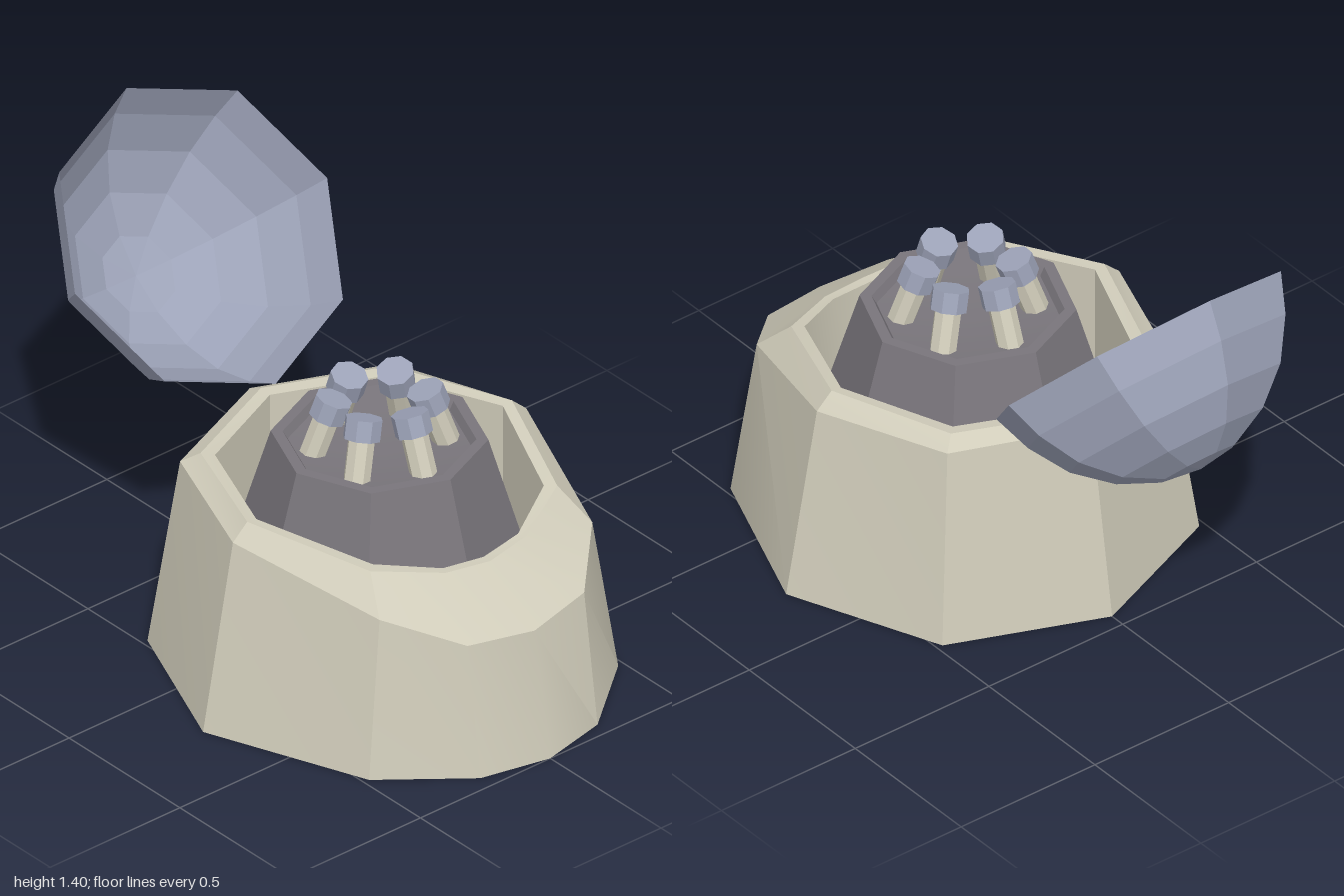
import * as THREE from 'three';
import { toCreasedNormals } from 'three/addons/utils/BufferGeometryUtils.js';

const CENTRE_Z = 0.23;

export function createModel() {
  const model = new THREE.Group();
  const stone = new THREE.MeshStandardMaterial({ color: 0xd0ccba });
  const darkGrey = new THREE.MeshStandardMaterial({ color: 0x79757b });
  const blueGrey = new THREE.MeshStandardMaterial({ color: 0x9da3b8, side: THREE.DoubleSide });

  const add = (parent, name, geometry, material, crease) => {
    const mesh = new THREE.Mesh(toCreasedNormals(geometry, crease), material);
    mesh.name = name;
    parent.add(mesh);
    return mesh;
  };

  // Half outline from back to front, mirrored into a closed loop
  const ring = (half) => [...half, ...half.slice(1, -1).reverse().map(([x, y, z]) => [-x, y, z])];

  // Skin between successive rings
  const skin = (...rings) => {
    const n = rings[0].length, pos = rings.flat(2), index = [];
    for (let r = 0; r < rings.length - 1; r++) {
      for (let i = 0; i < n; i++) {
        const a = r * n + i, b = r * n + (i + 1) % n;
        index.push(a, a + n, b + n, a, b + n, b);
      }
    }
    const g = new THREE.BufferGeometry();
    g.setAttribute('position', new THREE.Float32BufferAttribute(pos, 3));
    g.setIndex(index);
    return g;
  };

  // Housing outlines
  const foot = ring([[0, 0, -0.45], [0.48, 0, -0.255], [0.68, 0, 0.23], [0.48, 0, 0.745], [0.225, 0, 0.95], [0, 0, 1]]);
  const shoulder = ring([[0, 0.63, -0.355], [0.41, 0.625, -0.19], [0.565, 0.61, 0.23], [0.41, 0.51, 0.71], [0.225, 0.43, 0.89], [0, 0.41, 0.93]]);
  const crest = ring([[0, 0.655, -0.305], [0.365, 0.655, -0.15], [0.51, 0.66, 0.23], [0.36, 0.61, 0.61], [0.155, 0.568, 0.71], [0, 0.555, 0.73]]);
  const lip = ring([[0, 0.65, -0.265], [0.335, 0.65, -0.12], [0.475, 0.655, 0.23], [0.33, 0.61, 0.585], [0.145, 0.568, 0.685], [0, 0.555, 0.7]]);
  const well = lip.map(([x, , z]) => [x, 0.15, z]);
  const footCentre = foot.map(() => [0, 0, CENTRE_Z]);

  const housing = new THREE.Group();
  housing.name = 'housing';
  model.add(housing);
  add(housing, 'outerWall', skin(foot, shoulder), stone, 0.48);
  add(housing, 'rim', skin(shoulder, crest, lip), stone, 0.3);
  add(housing, 'innerWall', skin(lip, well), stone, 0.48);
  add(housing, 'underside', skin(footCentre, foot), stone, 0.3);

  const lathe = (points) => new THREE.LatheGeometry(points.map(([x, y]) => new THREE.Vector2(x, y)), 8);

  // Tapered core with a shallow dish in its top
  const core = add(model, 'core', lathe([[0.5, 0.15], [0.32, 0.75], [0.285, 0.75], [0.27, 0.725], [0, 0.69]]), darkGrey, 0.3);
  core.position.z = CENTRE_Z;

  // Six capped posts leaning towards the middle
  const post = new THREE.CylinderGeometry(0.041, 0.041, 0.17, 8).translate(0, 0.075, 0);
  const cap = new THREE.CylinderGeometry(0.057, 0.057, 0.065, 8).translate(0, 0.177, 0);
  for (let i = 0; i < 6; i++) {
    const spoke = new THREE.Group();
    spoke.name = 'postMount';
    spoke.position.z = CENTRE_Z;
    spoke.rotation.y = i * Math.PI / 3;
    const lean = new THREE.Group();
    lean.name = 'cappedPost';
    lean.position.set(0, 0.695, 0.205);
    lean.rotation.x = -0.34;
    add(lean, 'post', post, stone, 0.3);
    add(lean, 'postCap', cap, blueGrey, 0.3);
    spoke.add(lean);
    model.add(spoke);
  }

  // Open faceted lid, tipped back
  const lid = add(model, 'lid', lathe([[0, -0.407], [0.125, -0.389], [0.25, -0.332], [0.36, -0.239], [0.44, -0.118], [0.486, 0]]), blueGrey, 0.05);
  lid.position.set(0, 1.052, -0.575);
  lid.rotation.x = 0.807;

  return model;
}
